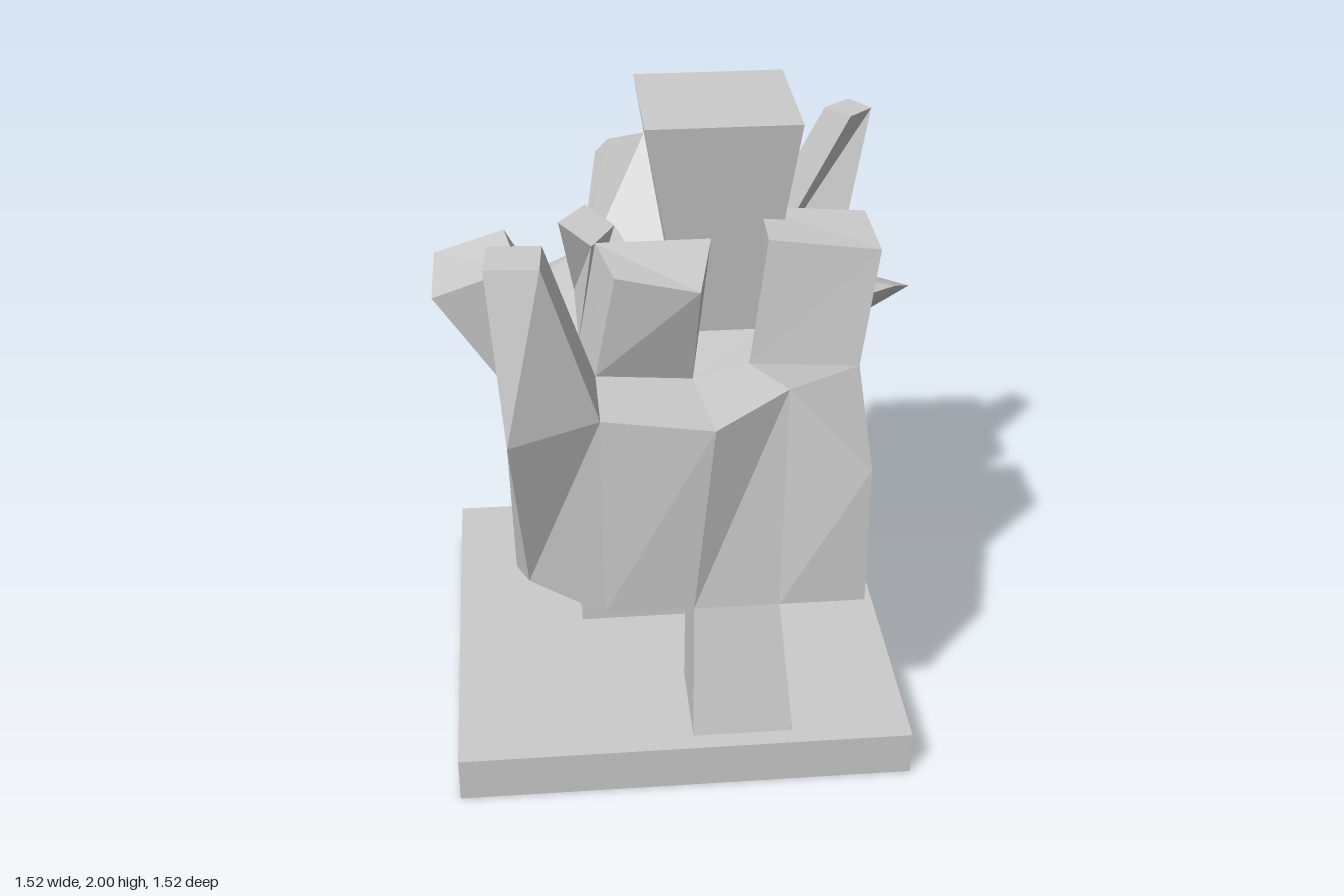
import * as THREE from 'three';

const material = new THREE.MeshStandardMaterial({ color: 0xcccccc, flatShading: true });

// Mesh from four-cornered faces, each split along its first-to-third diagonal
function quadMesh(name, quads) {
  const positions = [];
  for (const [p, q, r, s] of quads) positions.push(...p, ...q, ...r, ...p, ...r, ...s);
  const geometry = new THREE.BufferGeometry();
  geometry.setAttribute('position', new THREE.Float32BufferAttribute(positions, 3));
  geometry.computeVertexNormals();
  const mesh = new THREE.Mesh(geometry, material);
  mesh.name = name;
  return mesh;
}

// Walls joining a lower and an upper ring of points
const walls = (low, high) => low.map((p, k) => {
  const n = (k + 1) % low.length;
  return [p, low[n], high[n], high[k]];
});

// Uneven top of the trunk, rows from back to front
const topGrid = [
  [[-0.55, 1.19, -0.51], [-0.28, 1.32, -0.5], [0, 1.27, -0.5], [0.27, 1.27, -0.51], [0.54, 1.27, -0.6]],
  [[-0.55, 1.27, -0.24], [-0.32, 1.27, -0.28], [0.01, 1.27, -0.24], [0.27, 1.27, -0.23], [0.54, 1.27, -0.22]],
  [[-0.55, 1.18, 0.1], [-0.32, 1.27, 0.08], [0.02, 1.27, 0.05], [0.27, 1.27, 0.05], [0.54, 1.28, 0.05]],
  [[-0.55, 1.25, 0.33], [-0.28, 1.27, 0.315], [0.02, 1.25, 0.32], [0.2, 1.27, 0.28], [0.54, 1.27, 0.32]],
  [[-0.555, 1.27, 0.72], [-0.28, 1.27, 0.59], [0.06, 1.24, 0.625], [0.29, 1.32, 0.535], [0.54, 1.06, 0.6]],
];

// Flat underside with two lifted corners
const bottomGrid = [-0.5, -0.23, 0.05, 0.32, 0.6].map((z) =>
  [-0.55, -0.28, 0, 0.27, 0.54].map((x) => [x, 0.58, z]));
bottomGrid[0][0] = [-0.55, 0.68, -0.51];
bottomGrid[4][0] = [-0.51, 0.72, 0.6];

// Corners of a grid cell: back right, front right, front left, back left
const cell = (grid, i, j) => [grid[j][i], grid[j + 1][i], grid[j + 1][i + 1], grid[j][i + 1]];

// Outline of a grid in the same turning direction as a cell
function outline(grid) {
  const ring = [];
  for (let k = 0; k < 4; k++) ring.push(grid[k][0]);
  for (let k = 0; k < 4; k++) ring.push(grid[4][k]);
  for (let k = 4; k > 0; k--) ring.push(grid[k][4]);
  for (let k = 4; k > 0; k--) ring.push(grid[0][k]);
  return ring;
}

// Stumps growing from top cells: name, column, row, tip corners
const stumps = [
  ['frontRightStump', 0, 3, [[-0.59, 1.78, 0.435], [-0.6, 1.78, 0.59], [-0.44, 1.78, 0.6], [-0.43, 1.78, 0.445]]],
  ['rightStump', 0, 2, [[-0.76, 1.57, 0.02], [-0.76, 1.57, 0.335], [-0.5, 1.66, 0.335], [-0.54, 1.66, 0.065]]],
  ['smallInnerStump', 1, 1, [[-0.37, 1.61, -0.08], [-0.27, 1.56, 0], [-0.19, 1.58, -0.11], [-0.28, 1.62, -0.19]]],
  ['backStump', 1, 0, [[-0.22, 1.58, -0.72], [-0.18, 1.65, -0.66], [-0.05, 1.65, -0.71], [-0.12, 1.57, -0.76]]],
  ['backInnerStump', 2, 0, [[0, 1.5, -0.475], [0, 1.58, -0.335], [0.265, 1.6, -0.335], [0.265, 1.52, -0.475]]],
  ['backLeftStump', 3, 0, [[0.52, 1.85, -0.38], [0.59, 1.85, -0.29], [0.67, 1.85, -0.36], [0.61, 1.85, -0.45]]],
  ['centralColumn', 2, 1, [[-0.11, 2, -0.335], [-0.11, 2, 0.14], [0.37, 2, 0.14], [0.37, 2, -0.335]]],
  ['frontInnerStump', 1, 2, [[-0.265, 1.65, 0.165], [-0.22, 1.64, 0.395], [0.03, 1.61, 0.45], [0.09, 1.65, 0.165]]],
  ['leftInnerStump', 3, 2, [[0.26, 1.68, 0.01], [0.255, 1.68, 0.255], [0.595, 1.65, 0.29], [0.59, 1.66, 0.025]]],
  ['leftStump', 3, 1, [[0.44, 1.44, -0.05], [0.58, 1.475, 0.11], [0.67, 1.46, 0.16], [0.76, 1.36, -0.035]]],
];
// The left stump ends in a wide slanted face
stumps[9][3] = [[0.52, 1.385, -0.165], [0.46, 1.47, 0.08], [0.67, 1.46, 0.16], [0.76, 1.36, -0.035]];

// Legs under bottom cells: name, column, row, foot x range, foot z range
const legs = [
  ['frontLeg', 2, 3, [-0.01, 0.31], [0.38, 0.7]],
  ['backLeg', 1, 0, [-0.335, 0], [-0.6, -0.27]],
  ['middleRightLeg', 1, 1, [-0.335, 0], [-0.27, 0.05]],
  ['middleLeftLeg', 2, 1, [0, 0.31], [-0.27, 0.05]],
];

export function createModel() {
  const model = new THREE.Group();
  model.name = 'stumpSculpture';

  // Base slab
  const slab = new THREE.Mesh(new THREE.BoxGeometry(1.45, 0.15, 1.45), material);
  slab.position.set(-0.035, 0.075, 0.035);
  slab.name = 'baseSlab';
  model.add(slab);

  // Trunk: outer walls, top and underside; stump cells stay open
  const faces = walls(outline(bottomGrid), outline(topGrid));
  for (let j = 0; j < 4; j++) {
    for (let i = 0; i < 4; i++) {
      const [a, d, c, b] = cell(topGrid, i, j);
      if (!stumps.some((s) => s[1] === i && s[2] === j)) faces.push([d, c, b, a]);
      const [e, h, g, f] = cell(bottomGrid, i, j);
      faces.push(j === 3 ? [e, f, g, h] : [f, g, h, e]);
    }
  }
  model.add(quadMesh('trunk', faces));

  // Stumps with their cut tips
  for (const [name, i, j, tip] of stumps) {
    model.add(quadMesh(name, [...walls(cell(topGrid, i, j), tip), tip]));
  }

  // Legs flaring down to the slab
  for (const [name, i, j, [x0, x1], [z0, z1]] of legs) {
    const foot = [[x0, 0.15, z0], [x0, 0.15, z1], [x1, 0.15, z1], [x1, 0.15, z0]];
    model.add(quadMesh(name, walls(foot, cell(bottomGrid, i, j))));
  }
  return model;
}
